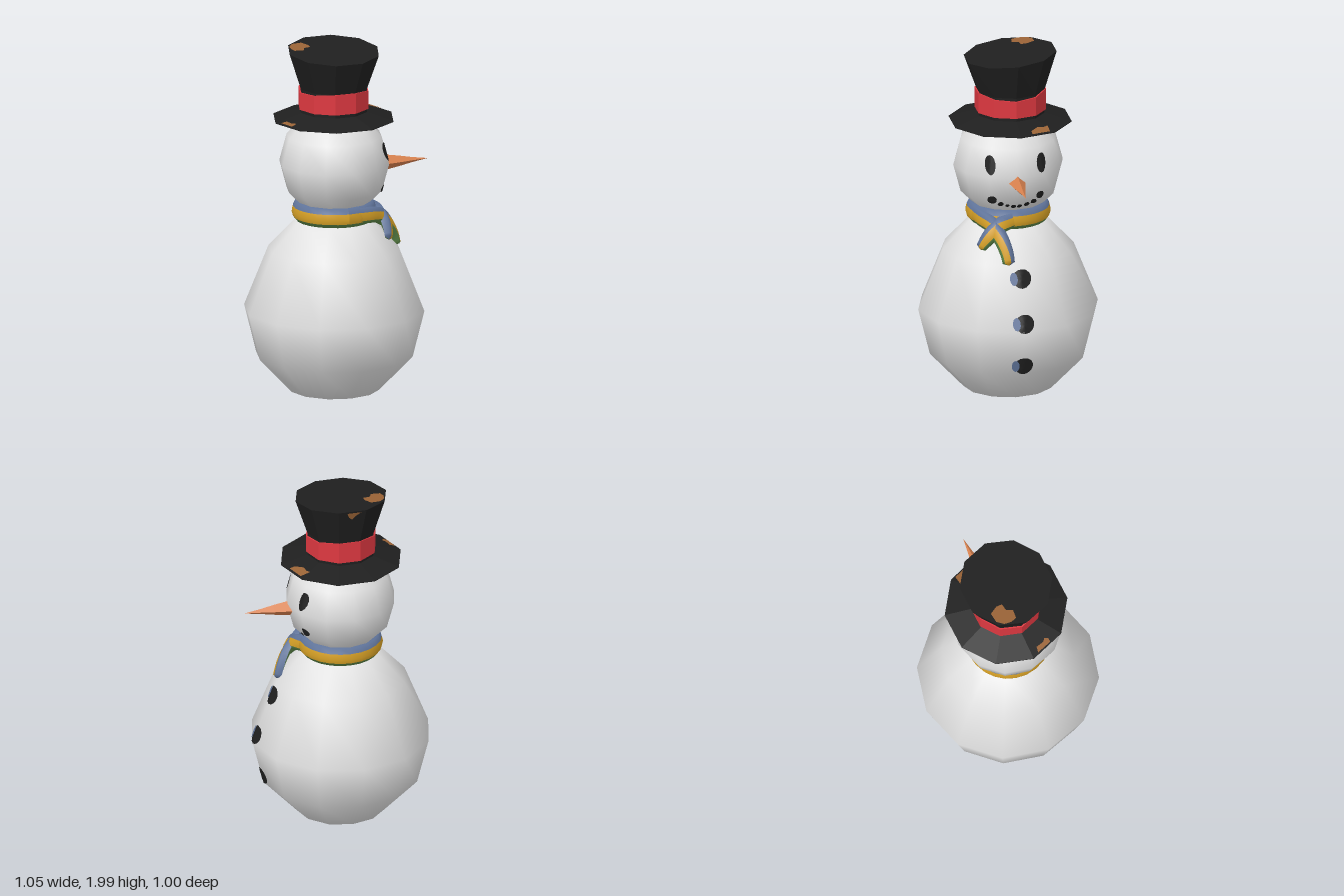
import * as THREE from 'three';

const V = (x, y, z) => new THREE.Vector3(x, y, z);
const P = (pts) => pts.map(([a, b]) => new THREE.Vector2(a, b));

export function createModel() {
  const model = new THREE.Group();
  model.name = 'snowman';

  const mat = (name, color) => {
    const m = new THREE.MeshStandardMaterial({ color });
    m.name = name;
    return m;
  };
  const snow = mat('snow', 0xe2e2e2);
  const black = mat('hat black', 0x1f1f1f);
  const red = mat('band red', 0xdd3840);
  const brown = mat('patch brown', 0x9a6336);
  const orange = mat('carrot orange', 0xd9824f);
  const yellow = mat('scarf yellow', 0xd6a026);
  const blue = mat('scarf blue', 0x5f7399);
  const green = mat('scarf green', 0x5f8a4a);

  const add = (name, geo, material, parent = model) => {
    const mesh = new THREE.Mesh(geo, material);
    mesh.name = name;
    parent.add(mesh);
    return mesh;
  };
  const flat = (geo) => {
    const g = geo.toNonIndexed();
    g.computeVertexNormals();
    return g;
  };
  const CX = -0.03; // axis of the snowman, which faces +x

  // Snowballs
  const body = add('body', new THREE.LatheGeometry(P([
    [0, 0.005], [0.25, 0.07], [0.435, 0.265], [0.5, 0.525], [0.365, 0.865], [0.21, 1.03], [0, 1.08],
  ]), 12).translate(CX, 0, 0), snow);
  const head = add('head', new THREE.SphereGeometry(0.305, 12, 6).translate(CX, 1.35, 0), snow);

  // Carrot nose, four-sided
  add('nose', flat(new THREE.LatheGeometry(P([[0.047, 0], [0.03, 0.1], [0.014, 0.18], [0, 0.27]]), 4)
    .rotateZ(-Math.PI / 2).translate(0.25, 1.32, 0)), orange);

  // Thin patch laid onto a target surface by projecting an outline along an axis
  const AXES = {
    front: { n: V(1, 0, 0), u: V(0, 1, 0), v: V(0, 0, 1) },
    top: { n: V(0, 1, 0), u: V(0, 0, 1), v: V(1, 0, 0) },
    back: { n: V(0, 0, -1), u: V(0, 1, 0), v: V(1, 0, 0) },
  };
  const decal = (name, target, axis, outline, material, lift = 0.004) => {
    const { n, u, v } = AXES[axis];
    const pts = P(outline);
    if (THREE.ShapeUtils.isClockWise(pts)) pts.reverse();
    const mid = pts.reduce((s, p) => s.add(p), new THREE.Vector2()).divideScalar(pts.length);
    const ray = new THREE.Raycaster();
    target.updateMatrixWorld(true);
    const pos = [], idx = [], N = pts.length, RINGS = 3;
    const put = (p) => {
      const o = V(0, 0, 0).addScaledVector(u, p.x).addScaledVector(v, p.y).addScaledVector(n, 5);
      ray.set(o, n.clone().negate());
      const hit = ray.intersectObject(target)[0];
      const q = hit ? hit.point.addScaledVector(n, lift) : new THREE.Vector3(...pos.slice(-3));
      pos.push(q.x, q.y, q.z);
    };
    put(mid);
    for (let r = 1; r <= RINGS; r++) pts.forEach((p) => put(mid.clone().lerp(p, r / RINGS)));
    for (let i = 0; i < N; i++) {
      const j = (i + 1) % N;
      idx.push(0, 1 + i, 1 + j);
      for (let r = 1; r < RINGS; r++) {
        const a = 1 + (r - 1) * N, b = a + N;
        idx.push(a + i, b + i, b + j, a + i, b + j, a + j);
      }
    }
    const g = new THREE.BufferGeometry();
    g.setAttribute('position', new THREE.Float32BufferAttribute(pos, 3));
    g.setIndex(idx);
    g.computeVertexNormals();
    add(name, g, material);
  };
  const oval = (cu, cv, ru, rv) => Array.from({ length: 14 }, (_, i) => {
    const a = (i / 14) * Math.PI * 2;
    return [cu + ru * Math.cos(a), cv + rv * Math.sin(a)];
  });

  // Eyes, mouth and buttons
  for (const z of [0.143, -0.14]) decal('eye', head, 'front', oval(1.42, z, 0.053, 0.027), black);
  const mouth = [[0.13, 1.213, 0.024], [0.083, 1.187, 0.016], [0.045, 1.176, 0.011], [0.012, 1.17, 0.014],
    [-0.022, 1.17, 0.014], [-0.062, 1.178, 0.016], [-0.1, 1.193, 0.017], [-0.136, 1.23, 0.023]];
  for (const [z, y, r] of mouth) decal('mouthCoal', head, 'front', oval(y, z, r, r), black);
  for (const y of [0.8, 0.568, 0.315]) {
    decal('button', body, 'front', oval(y, -0.008, 0.05, 0.053), black);
    decal('buttonGlint', body, 'front', oval(y, 0.037, 0.034, 0.021), blue, 0.007);
  }

  // Hat: ten-sided, with a sloping flat top
  const lathe10 = (pts) => new THREE.LatheGeometry(P(pts), 10, Math.PI / 2).translate(CX, 0, -0.012);
  const warp = (geo, rule) => {
    const p = geo.attributes.position;
    for (let i = 0; i < p.count; i++) p.setY(i, rule(p.getX(i), p.getY(i), p.getZ(i)));
    return geo;
  };
  const brim = add('hatBrim', flat(lathe10([[0, 1.594], [0.34, 1.596], [0.34, 1.6], [0.19, 1.642], [0, 1.645]])), black);
  const crown = add('hatCrown', flat(warp(
    lathe10([[0.19, 1.62], [0.19, 1.775], [0.257, 1.978], [0, 1.978]]),
    (x, y, z) => (y > 1.9 ? y - 0.09 * (z + 0.012) : y))), black);
  add('hatBand', flat(warp(lathe10([[0.188, 1.66], [0.198, 1.661], [0.198, 1.757], [0.188, 1.758]]),
    (x, y, z) => (y > 1.7 ? y + 0.6 * z * z : y))), red);

  // Worn brown patches on the hat
  decal('crownPatch', crown, 'top', [[-0.13, -0.245], [-0.165, -0.215], [-0.17, -0.16], [-0.125, -0.135],
    [-0.09, -0.135], [-0.085, -0.175], [-0.05, -0.19], [-0.055, -0.24], [-0.09, -0.25]], brown);
  decal('crownSidePatch', crown, 'back', [[1.992, -0.08], [1.992, 0], [1.965, -0.01], [1.945, -0.03], [1.97, -0.05]], brown);
  decal('brimPatch', brim, 'top', [[-0.18, 0.19], [-0.185, 0.246], [-0.08, 0.28], [-0.08, 0.25], [-0.12, 0.21], [-0.16, 0.205]], brown);
  decal('brimPatch', brim, 'top', [[0.025, -0.35], [0.03, -0.32], [0.075, -0.31], [0.09, -0.294], [0.11, -0.3], [0.112, -0.324]], brown);

  // Scarf: a swept band split into blue top, yellow face and green underside
  const strips = [
    ['Yellow', yellow, [[0.85, -0.6], [1, -0.1], [0.85, 0.45]]],
    ['Blue', blue, [[0.85, 0.45], [0.55, 1], [-0.7, 1]]],
    ['Green', green, [[-0.7, 1], [-0.9, 0], [-0.7, -1], [0.5, -1], [0.85, -0.6]]],
  ];
  const sweep = (name, curve, steps, closed, thick, height, taper) => {
    const group = new THREE.Group();
    group.name = name;
    model.add(group);
    for (const [label, material, section] of strips) {
      const pos = [], idx = [], M = section.length;
      for (let s = 0; s <= steps; s++) {
        const t = s / steps, c = curve.getPoint(t), k = taper(t);
        const tan = curve.getTangent(t);
        const out = V(c.x - CX, 0, c.z).normalize();
        out.addScaledVector(tan, -out.dot(tan)).normalize();
        const up = out.clone().cross(tan);
        for (const [a, b] of section) {
          const q = c.clone().addScaledVector(out, a * thick * k).addScaledVector(up, b * height * k);
          pos.push(q.x, q.y, q.z);
        }
      }
      for (let s = 0; s < steps; s++) for (let m = 0; m < M - 1; m++) {
        const a = s * M + m, b = a + M;
        idx.push(a, b, a + 1, a + 1, b, b + 1);
      }
      const g = new THREE.BufferGeometry();
      g.setAttribute('position', new THREE.Float32BufferAttribute(pos, 3));
      g.setIndex(idx);
      g.computeVertexNormals();
      add(name + label, g, material, group);
    }
  };
  const ring = Array.from({ length: 12 }, (_, i) => {
    const a = (i / 12) * Math.PI * 2;
    return V(CX + 0.185 * Math.sin(a), 1.083, 0.185 * Math.cos(a));
  });
  sweep('scarfRing', new THREE.CatmullRomCurve3(ring, true), 24, true, 0.05, 0.054, () => 1);
  sweep('scarfLongTail', new THREE.CatmullRomCurve3([
    V(0.02, 1.085, 0.19), V(0.11, 1.08, 0.17), V(0.185, 1.06, 0.13), V(0.255, 1.0, 0.09),
    V(0.295, 0.93, 0.065), V(0.315, 0.865, 0.055),
  ]), 20, false, 0.032, 0.044, (t) => (t === 1 ? 0 : 1.05 - 0.3 * t));
  sweep('scarfShortTail', new THREE.CatmullRomCurve3([
    V(0.215, 0.935, 0.2), V(0.22, 1.0, 0.155), V(0.205, 1.06, 0.09), V(0.165, 1.085, 0),
  ]), 16, false, 0.032, 0.042, (t) => (t === 0 ? 0 : Math.min(1, 0.6 + t)));

  return model;
}
